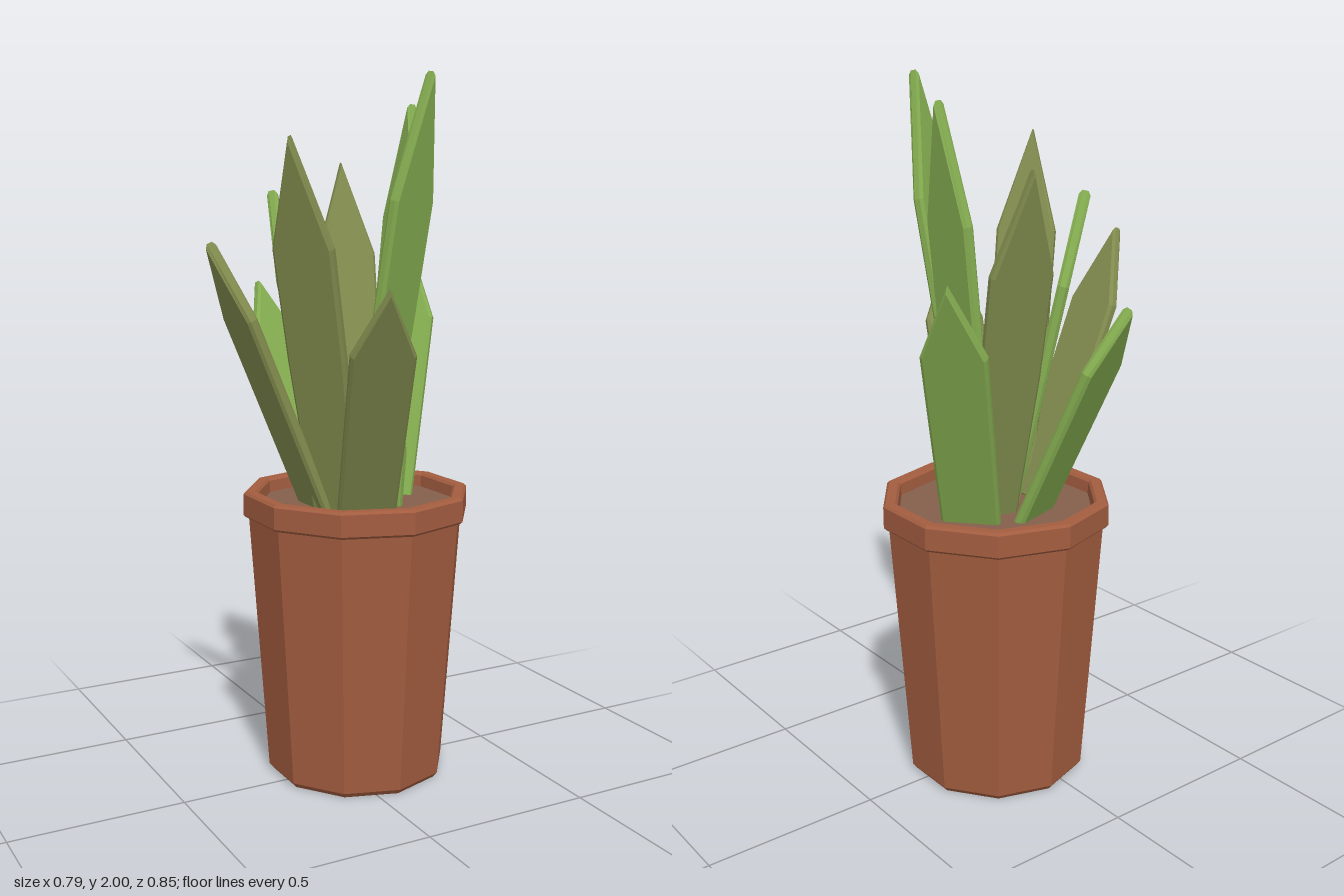
import * as THREE from 'three';

export function createModel() {
  const mat = (name, color) => new THREE.MeshStandardMaterial({ name, color, flatShading: true });
  const terracotta = mat('terracotta', 0xa35d40);
  const earth = mat('earth', 0x85604b);
  const green = mat('leaf green', 0x87b052);
  const olive = mat('leaf olive', 0x848f50);

  const model = new THREE.Group();
  model.name = 'pottedPlant';
  const add = (name, geometry, material, parent) => {
    const mesh = new THREE.Mesh(geometry, material);
    mesh.name = name;
    parent.add(mesh);
    return mesh;
  };

  // Ten-sided pot: tapered wall, thick chamfered rim and inner wall
  const pot = new THREE.Group();
  pot.name = 'pot';
  pot.position.set(0.06, 0, -0.018);
  model.add(pot);
  const lathe = (points) => new THREE.LatheGeometry(points.map(([r, y]) => new THREE.Vector2(r, y)), 10);
  add('potBody', lathe([[0, 0], [0.25, 0], [0.262, 0.015], [0.315, 0.775]]), terracotta, pot);
  add('potRim', lathe([
    [0.305, 0.77], [0.323, 0.77], [0.33, 0.777], [0.33, 0.838], [0.323, 0.845],
    [0.296, 0.845], [0.289, 0.838], [0.285, 0.79],
  ]), terracotta, pot);
  const soil = lathe([[0.288, 0.805], [0, 0.805]]);
  add('soil', soil, earth, pot);

  // Flat pointed blade with bevelled edges; base is taken at y = 0.85
  const leaves = new THREE.Group();
  leaves.name = 'leaves';
  model.add(leaves);
  function addLeaf(name, [bx, bz], [tx, ty, tz], baseWidth, width, material, thick = 0.032) {
    const base = new THREE.Vector3(bx, 0.85, bz);
    const axis = new THREE.Vector3(tx, ty, tz).sub(base);
    const len = axis.length();
    axis.normalize();
    const root = -0.06;
    const half = [[baseWidth / 2, root], [width * 0.49, len * 0.4], [width / 2, len * 0.71]];
    const outline = [
      ...half, [0, len], ...half.map(([x, y]) => [-x, y]).reverse(),
    ].map(([x, y]) => new THREE.Vector2(x, y));
    const bevel = thick * 0.25;
    const geometry = new THREE.ExtrudeGeometry(new THREE.Shape(outline), {
      depth: thick - 2 * bevel, bevelEnabled: true, bevelThickness: bevel,
      bevelSize: bevel, bevelOffset: -bevel, bevelSegments: 1,
    });
    geometry.translate(0, 0, bevel - thick / 2);

    // Blade width stays horizontal, across the direction of lean
    const across = new THREE.Vector3(axis.z, 0, -axis.x).normalize();
    const normal = new THREE.Vector3().crossVectors(across, axis);
    const frame = new THREE.Matrix4().makeBasis(across, axis, normal).setPosition(base);
    add(name, geometry.applyMatrix4(frame), material, leaves);
  }

  // Tall inner leaves
  addLeaf('tallFrontLeaf', [0.06, 0.05], [0.142, 2.0, 0.235], 0.13, 0.175, green);
  addLeaf('tallLeftLeaf', [0.128, -0.015], [0.237, 1.935, -0.016], 0.12, 0.175, green);
  addLeaf('innerBackLeaf', [-0.005, -0.035], [-0.138, 1.695, -0.16], 0.13, 0.175, green);
  addLeaf('darkBackLeaf', [0.108, -0.085], [0.16, 1.78, -0.305], 0.13, 0.175, olive);
  addLeaf('frontRightLeaf', [-0.055, 0.065], [-0.268, 1.825, 0.225], 0.14, 0.175, olive);

  // Shorter outer leaves, set deeper in the soil
  addLeaf('rightLeaf', [-0.09, -0.022], [-0.388, 1.555, -0.018], 0.165, 0.172, olive);
  addLeaf('frontLeaf', [0.01, 0.14], [-0.082, 1.445, 0.415], 0.165, 0.175, olive);
  addLeaf('backLeaf', [0.015, -0.165], [-0.07, 1.425, -0.415], 0.165, 0.175, green);
  addLeaf('backLeftLeaf', [0.205, -0.092], [0.385, 1.51, -0.252], 0.165, 0.175, green);

  // Young shoots
  addLeaf('tallShoot', [0.138, 0.1], [0.144, 1.0, 0.11], 0.02, 0.025, green, 0.012);
  addLeaf('shortShoot', [0.118, 0.095], [0.125, 0.95, 0.102], 0.018, 0.022, green, 0.012);

  return model;
}
